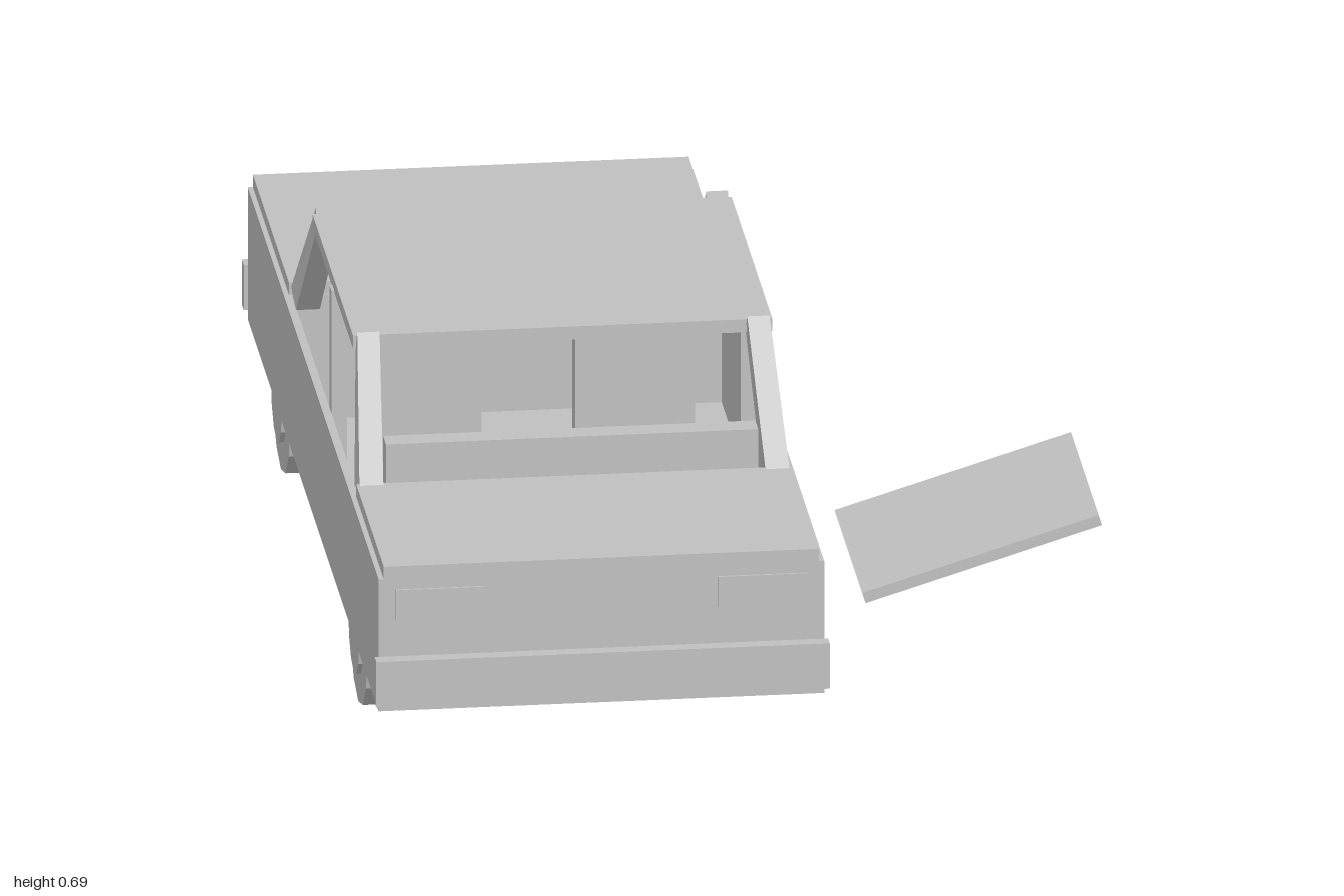
import * as THREE from 'three';

export function createModel() {
  const model = new THREE.Group();
  model.name = 'sedanWithLoosePanel';
  const grey = new THREE.MeshStandardMaterial({ color: 0xc0c0c0, flatShading: true });
  grey.name = 'plain grey';

  const car = new THREE.Group();
  car.name = 'car';
  car.position.x = -0.297;
  model.add(car);

  const add = (name, geometry, parent = car) => {
    const mesh = new THREE.Mesh(geometry, grey);
    mesh.name = name;
    parent.add(mesh);
    return mesh;
  };
  // Box given by its extents on each axis
  const box = (name, [x0, x1], [y0, y1], [z0, z1]) =>
    add(name, new THREE.BoxGeometry(x1 - x0, y1 - y0, z1 - z0)
      .translate((x0 + x1) / 2, (y0 + y1) / 2, (z0 + z1) / 2));

  // Body: solid ends around an open cabin
  box('floor', [-0.39, 0.39], [0.195, 0.21], [-0.972, 0.975]);
  box('frontBody', [-0.39, 0.39], [0.21, 0.44], [-0.972, -0.43]);
  box('rearBody', [-0.39, 0.39], [0.21, 0.44], [0.56, 0.975]);
  box('frontLid', [-0.381, 0.381], [0.44, 0.463], [-0.972, -0.435]);
  box('rearLid', [-0.381, 0.381], [0.44, 0.463], [0.565, 0.975]);
  box('roof', [-0.367, 0.367], [0.652, 0.676], [-0.205, 0.398]);
  box('frontBumper', [-0.397, 0.397], [0.212, 0.296], [-1, -0.972]);
  box('rearBumper', [-0.397, 0.397], [0.212, 0.296], [0.975, 1]);

  // Slanted pillar: outline corners are [z, y] for bottom outer, bottom inner, top outer, top inner
  const pillar = (name, side, bo, bi, to, ti) => {
    const g = new THREE.BoxGeometry(1, 1, 1);
    const p = g.attributes.position;
    const flip = Math.sign(bo[0]);
    for (let i = 0; i < p.count; i++) {
      const top = p.getY(i) > 0;
      const outer = p.getZ(i) * flip > 0;
      const [z, y] = top ? (outer ? to : ti) : (outer ? bo : bi);
      const far = p.getX(i) * side > 0;
      const x = top ? (far ? 0.361 : 0.322) : (far ? 0.377 : 0.335);
      p.setXYZ(i, x * side, y, z);
    }
    g.computeVertexNormals();
    add(name, g);
  };

  for (const s of [-1, 1]) {
    const span = (a, b) => (s > 0 ? [a, b] : [-b, -a]);
    box('cabinSide', span(0.376, 0.39), [0.21, 0.44], [-0.43, 0.56]);
    box('centrePillar', span(0.345, 0.372), [0.21, 0.655], [0.088, 0.12]);
    pillar('rearPillar', s, [0.58, 0.455], [0.505, 0.438], [0.41, 0.686], [0.385, 0.652]);
    pillar('frontPillar', s, [-0.436, 0.455], [-0.366, 0.438], [-0.205, 0.688], [-0.195, 0.652]);
    box('frontSeat', span(0.082, 0.293), [0.21, 0.549], [-0.157, -0.115]);

    // Thin lamps on both ends
    box('frontLamp', span(0.205, 0.36), [0.365, 0.42], [-0.976, -0.971]);
    box('rearLamp', span(0.205, 0.36), [0.365, 0.42], [0.974, 0.979]);

    // Twelve-sided wheels, one of them sitting lower
    for (const z of [-0.572, 0.578]) {
      const y = s > 0 && z < 0 ? 0.17 : 0.199;
      const wheel = new THREE.Group();
      wheel.name = 'wheel';
      wheel.position.set(s * 0.335, y, z);
      wheel.rotation.z = Math.PI / 2;
      car.add(wheel);
      add('tyre', new THREE.CylinderGeometry(0.134, 0.134, 0.088, 12), wheel);
      add('hub', new THREE.CylinderGeometry(0.079, 0.079, 0.104, 12), wheel);
    }
  }

  // Cabin fittings
  box('rearBench', [-0.326, 0.326], [0.21, 0.525], [0.497, 0.54]);
  const steering = add('steeringWheel', new THREE.CylinderGeometry(0.076, 0.076, 0.016, 16));
  steering.position.set(-0.19, 0.37, -0.35);
  steering.rotation.x = -1.08;

  // Underside
  for (const z of [-0.572, 0.578]) box('axle', [-0.26, 0.26], [0.142, 0.196], [z - 0.03, z + 0.03]);
  box('engineSump', [-0.085, 0.085], [0.147, 0.196], [-0.84, -0.58]);
  box('fuelTank', [-0.085, 0.085], [0.147, 0.196], [0.6, 0.845]);
  const pipe = add('exhaustPipe', new THREE.CylinderGeometry(0.014, 0.014, 1.18, 12));
  pipe.rotation.x = Math.PI / 2;
  pipe.position.set(0.157, 0.167, 0.04);

  // Loose tilted panel lying beside the car
  const panel = add('loosePanel', new THREE.BoxGeometry(0.433, 0.02, 0.412), model);
  panel.position.set(0.48, 0.074, -0.173);
  panel.rotation.z = 0.297;

  return model;
}
